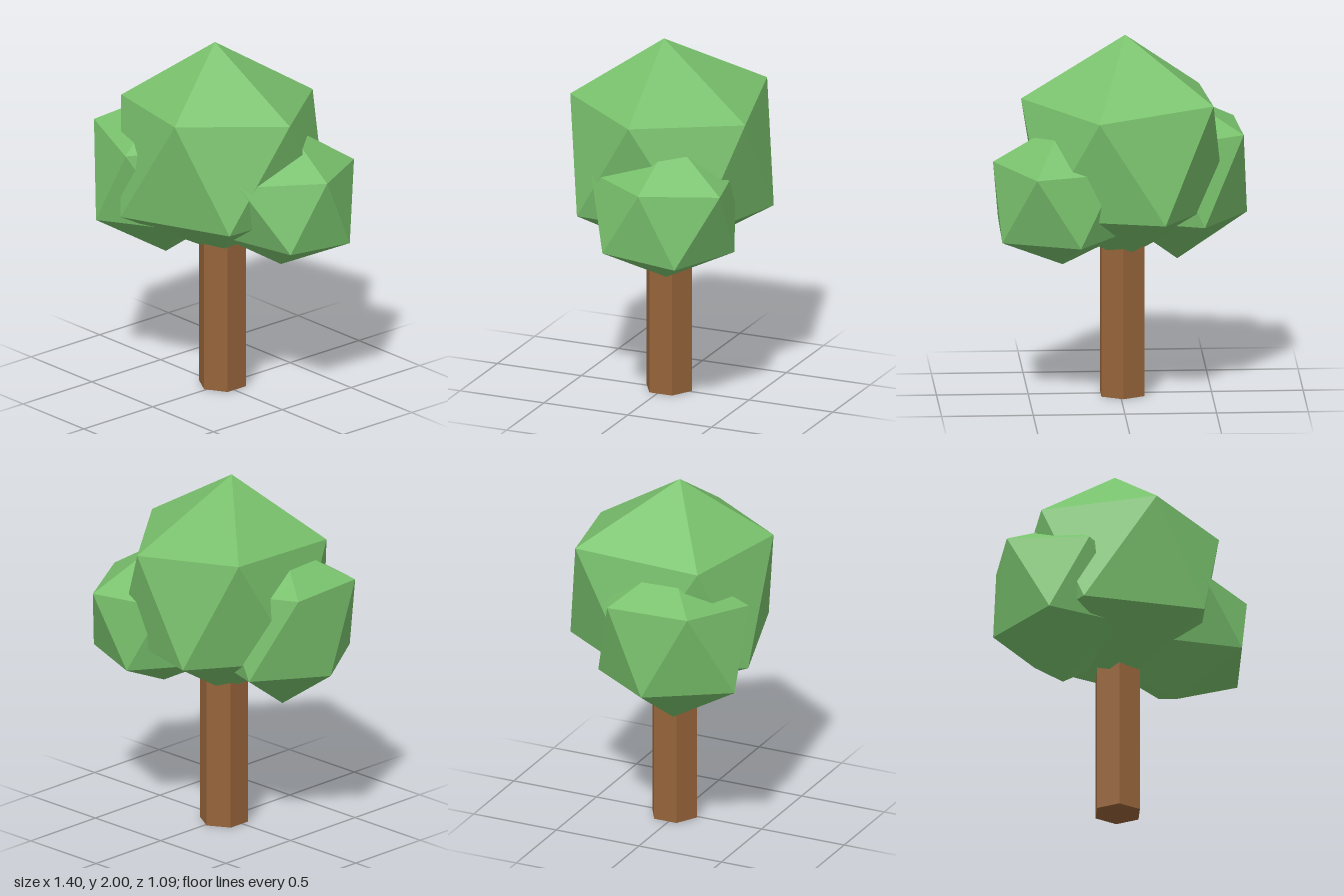
import * as THREE from 'three';
import { ConvexGeometry } from 'three/addons/geometries/ConvexGeometry.js';

const leafGreen = new THREE.MeshStandardMaterial({ color: 0x78c06c });
leafGreen.name = 'leafGreen';
const barkBrown = new THREE.MeshStandardMaterial({ color: 0x96643a });
barkBrown.name = 'barkBrown';

// A faceted leaf clump: top point, upper ring of five, lower ring of five, bottom point
function leafClump(name, top, upperRing, lowerRing, bottom) {
  const points = [top, ...upperRing, ...lowerRing, bottom].map((p) => new THREE.Vector3(...p));
  const mesh = new THREE.Mesh(new ConvexGeometry(points), leafGreen);
  mesh.name = name;
  return mesh;
}

export function createModel() {
  const tree = new THREE.Group();
  tree.name = 'tree';

  // Six-sided trunk, running up into the leaves
  const trunk = new THREE.Mesh(new THREE.CylinderGeometry(0.135, 0.135, 1, 6).toNonIndexed(), barkBrown);
  trunk.geometry.computeVertexNormals();
  trunk.position.set(-0.012, 0.5, -0.02);
  trunk.name = 'trunk';
  tree.add(trunk);

  // Large central crown
  tree.add(leafClump('mainCrown',
    [-0.03, 2.0, 0.02],
    [[0.14, 1.63, -0.54], [0.54, 1.66, -0.02], [0.17, 1.68, 0.49], [-0.45, 1.65, 0.33], [-0.49, 1.69, -0.39]],
    [[-0.23, 1.05, 0.53], [0.44, 1.08, 0.33], [0.43, 1.06, -0.38], [-0.22, 1.06, -0.55], [-0.57, 1.06, -0.02]],
    [-0.02, 0.76, -0.03]));

  // Lower clump on the right (-x), towards the front
  tree.add(leafClump('rightClump',
    [-0.33, 1.65, 0.11],
    [[-0.67, 1.46, -0.11], [-0.64, 1.46, 0.36], [-0.2, 1.41, 0.52], [0.06, 1.42, 0.08], [-0.23, 1.44, -0.28]],
    [[-0.42, 0.98, 0.54], [-0.7, 0.98, 0.11], [-0.45, 0.98, -0.27], [-0.02, 0.99, -0.15], [0.01, 0.99, 0.32]],
    [-0.32, 0.72, 0.12]));

  // Lower clump on the left (+x), towards the back
  tree.add(leafClump('leftClump',
    [0.32, 1.57, -0.18],
    [[0.7, 1.34, -0.15], [0.48, 1.32, -0.54], [0.04, 1.33, -0.44], [0.0, 1.34, 0.0], [0.43, 1.34, 0.25]],
    [[0.66, 0.97, 0.08], [0.66, 0.93, -0.35], [0.24, 0.93, -0.52], [-0.05, 0.96, -0.22], [0.19, 0.97, 0.18]],
    [0.32, 0.76, -0.15]));

  return tree;
}
